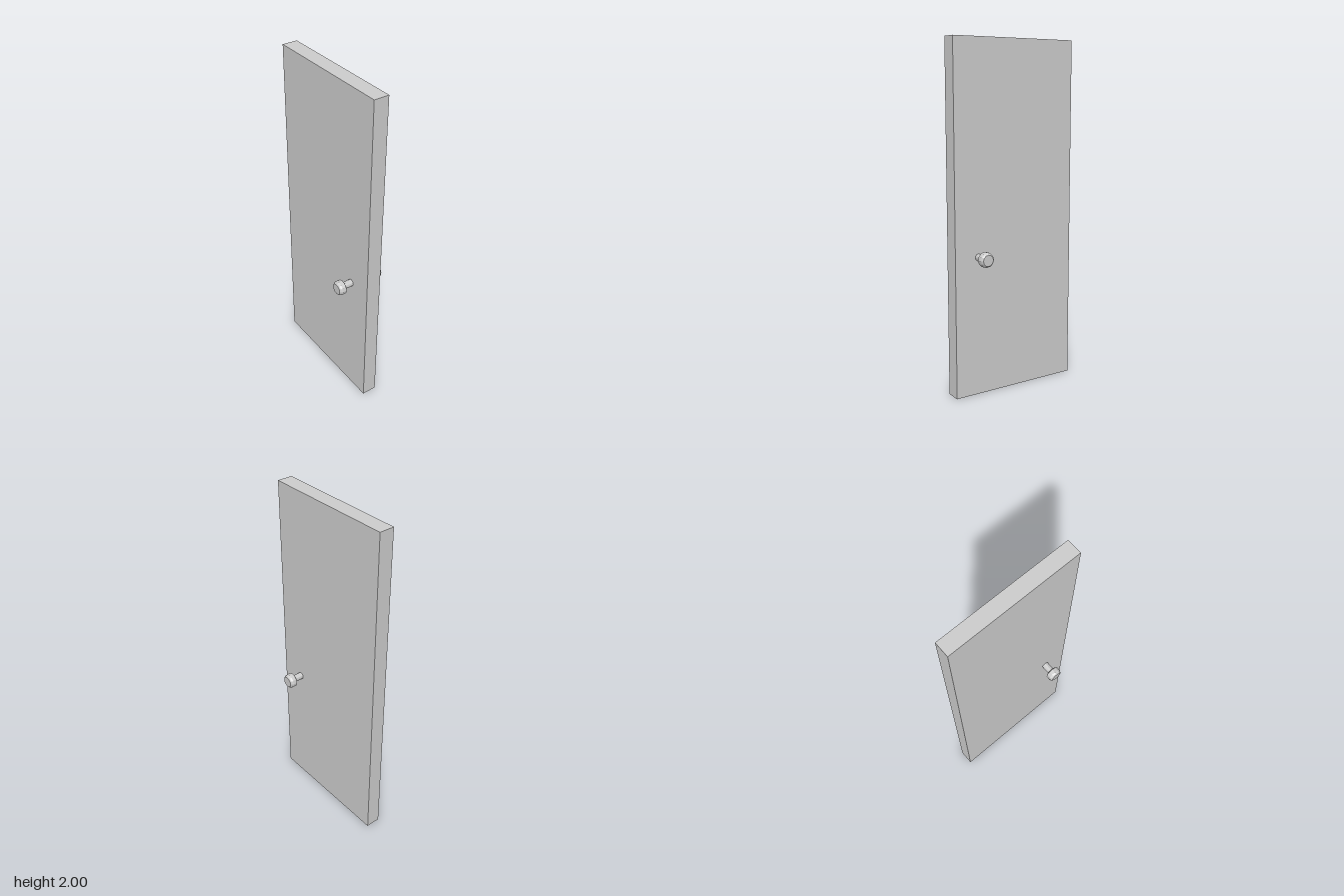
import * as THREE from 'three';

const KNOB_SIDES = 12;

export function createModel() {
  const model = new THREE.Group();
  model.name = 'door';
  const panelMaterial = new THREE.MeshStandardMaterial({ color: 0xcccccc, side: THREE.DoubleSide });
  const knobMaterial = new THREE.MeshStandardMaterial({ color: 0xcccccc, flatShading: true, side: THREE.DoubleSide });

  // Door panel: a hollow box whose underside is open
  const panelGeometry = new THREE.BoxGeometry(0.088, 2, 0.786);
  const index = Array.from(panelGeometry.index.array);
  index.splice(18, 6); // the fourth face of the box is its bottom
  panelGeometry.setIndex(index);
  panelGeometry.clearGroups();
  const panel = new THREE.Mesh(panelGeometry, panelMaterial);
  panel.name = 'doorPanel';
  panel.position.set(-0.001, 1, 0);
  model.add(panel);

  // Shaft and bevelled knob on each side, as one turned profile (radius, distance)
  const profile = [
    [0.021, 0.04], [0.021, 0.101], [0.033, 0.101], [0.043, 0.107],
    [0.043, 0.13], [0.039, 0.14], [0.032, 0.147], [0, 0.147],
  ].map(([r, d]) => new THREE.Vector2(r, d));
  const knobGeometry = new THREE.LatheGeometry(profile, KNOB_SIDES);

  for (const side of [1, -1]) {
    const knob = new THREE.Mesh(knobGeometry, knobMaterial);
    knob.name = side > 0 ? 'leftKnob' : 'rightKnob';
    knob.rotation.z = -side * Math.PI / 2;
    knob.position.set(0, 0.8, 0.245);
    model.add(knob);
  }
  return model;
}
